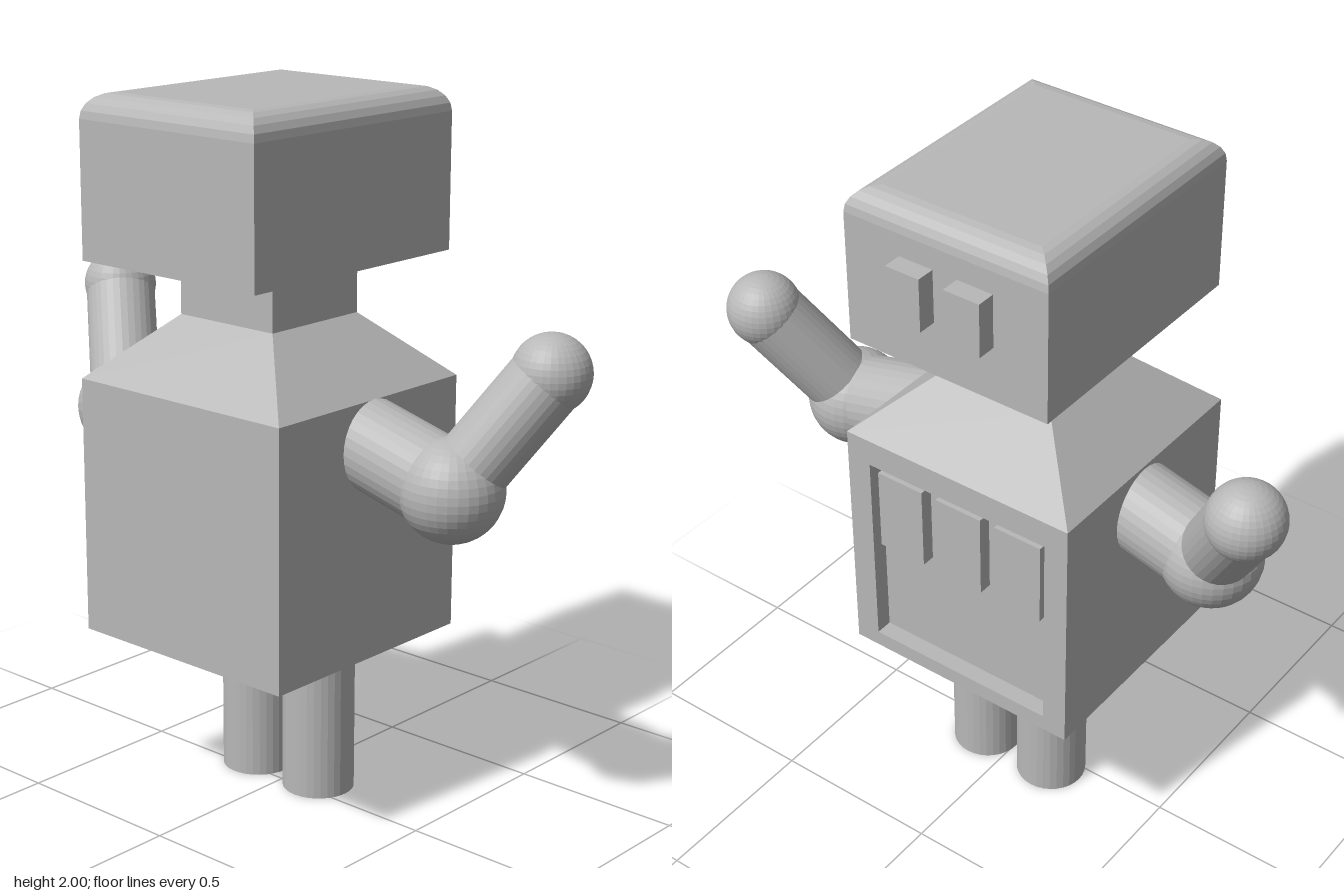
import * as THREE from 'three';

const gray = new THREE.MeshStandardMaterial({ color: 0xb8b8b8 });

// Faceted normals
function flat(geometry) {
  const g = geometry.index ? geometry.toNonIndexed() : geometry;
  g.computeVertexNormals();
  return g;
}

// Closed solid through rectangular sections [y, x0, x1, z0, z1], bottom to top
function loft(sections) {
  const rings = sections.map(([y, x0, x1, z0, z1]) => [[x0, y, z1], [x1, y, z1], [x1, y, z0], [x0, y, z0]]);
  const p = [];
  const quad = (a, b, c, d) => p.push(...a, ...b, ...c, ...a, ...c, ...d);
  for (let i = 0; i < rings.length - 1; i++) {
    const lo = rings[i], hi = rings[i + 1];
    for (let k = 0; k < 4; k++) {
      const n = (k + 1) % 4;
      quad(lo[k], lo[n], hi[n], hi[k]);
    }
  }
  const b = rings[0], t = rings[rings.length - 1];
  quad(b[3], b[2], b[1], b[0]);
  quad(t[0], t[1], t[2], t[3]);
  const g = new THREE.BufferGeometry();
  g.setAttribute('position', new THREE.Float32BufferAttribute(p, 3));
  return flat(g);
}

export function createModel() {
  const model = new THREE.Group();
  model.name = 'robot';

  function add(name, geometry, parent = model) {
    const mesh = new THREE.Mesh(geometry, gray);
    mesh.name = name;
    parent.add(mesh);
    return mesh;
  }
  // Box from its limits
  function box(name, x0, x1, y0, y1, z0, z1) {
    add(name, new THREE.BoxGeometry(x1 - x0, y1 - y0, z1 - z0))
      .position.set((x0 + x1) / 2, (y0 + y1) / 2, (z0 + z1) / 2);
  }
  // Cylinder between two points
  function rod(name, a, b, r, parent) {
    const dir = b.clone().sub(a);
    const mesh = add(name, flat(new THREE.CylinderGeometry(r, r, dir.length(), 32)), parent);
    mesh.position.copy(a).add(b).multiplyScalar(0.5);
    mesh.quaternion.setFromUnitVectors(new THREE.Vector3(0, 1, 0), dir.normalize());
  }
  function ball(name, center, r, parent) {
    add(name, flat(new THREE.SphereGeometry(r, 32, 20)), parent).position.copy(center);
  }

  // Head: straight walls, rounded over along the top edges
  const r = 0.07;
  const head = [[1.55, -0.34, 0.29, -0.36, 0.42]];
  for (let i = 0; i <= 5; i++) {
    const a = (i / 5) * Math.PI / 2;
    const inset = r * (1 - Math.cos(a));
    head.push([2 - r + r * Math.sin(a), -0.34 + inset, 0.29 - inset, -0.36 + inset, 0.42 - inset]);
  }
  add('head', loft(head));

  // Eyes on the rear face
  box('eye', -0.175, -0.065, 1.71, 1.865, -0.415, -0.355);
  box('eye', 0.01, 0.115, 1.71, 1.865, -0.415, -0.355);

  // Sloping shoulders and neck
  add('shouldersAndNeck', loft([
    [1.21, -0.388, 0.345, -0.335, 0.39],
    [1.39, -0.19, 0.148, -0.14, 0.2],
    [1.55, -0.19, 0.148, -0.14, 0.2],
  ]));

  // Body, with a framed recess in the rear
  box('body', -0.388, 0.345, 0.477, 1.21, -0.285, 0.39);
  const rect = (path, x0, x1, y0, y1) =>
    path.moveTo(x0, y0).lineTo(x1, y0).lineTo(x1, y1).lineTo(x0, y1).closePath();
  const frame = rect(new THREE.Shape(), -0.388, 0.345, 0.477, 1.21);
  frame.holes.push(rect(new THREE.Path(), -0.315, 0.27, 0.525, 1.13));
  add('panelFrame', new THREE.ExtrudeGeometry(frame, { depth: 0.05, bevelEnabled: false }))
    .position.z = -0.335;

  // Three blocks inside the recess
  for (let i = 0; i < 3; i++) {
    const x = 0.25 - i * 0.197;
    box('panelBlock', x - 0.15, x, 0.855, 1.105, -0.325, -0.28);
  }

  // Legs
  for (const x of [-0.138, 0.098]) {
    rod('leg', new THREE.Vector3(x, 0, -0.047), new THREE.Vector3(x, 0.48, -0.047), 0.103);
  }

  // Raised arms, mirrored
  for (const side of [1, -1]) {
    const arm = new THREE.Group();
    arm.name = side > 0 ? 'leftArm' : 'rightArm';
    model.add(arm);
    const shoulder = new THREE.Vector3(side * 0.28, 1.1, 0.015);
    const elbow = new THREE.Vector3(side * 0.61, 1.015, 0.015);
    const hand = new THREE.Vector3(side * 0.797, 1.33, -0.148);
    rod('upperArm', shoulder, elbow, 0.124, arm);
    ball('elbow', elbow, 0.142, arm);
    rod('forearm', elbow, hand, 0.102, arm);
    ball('hand', hand, 0.107, arm);
  }
  return model;
}
